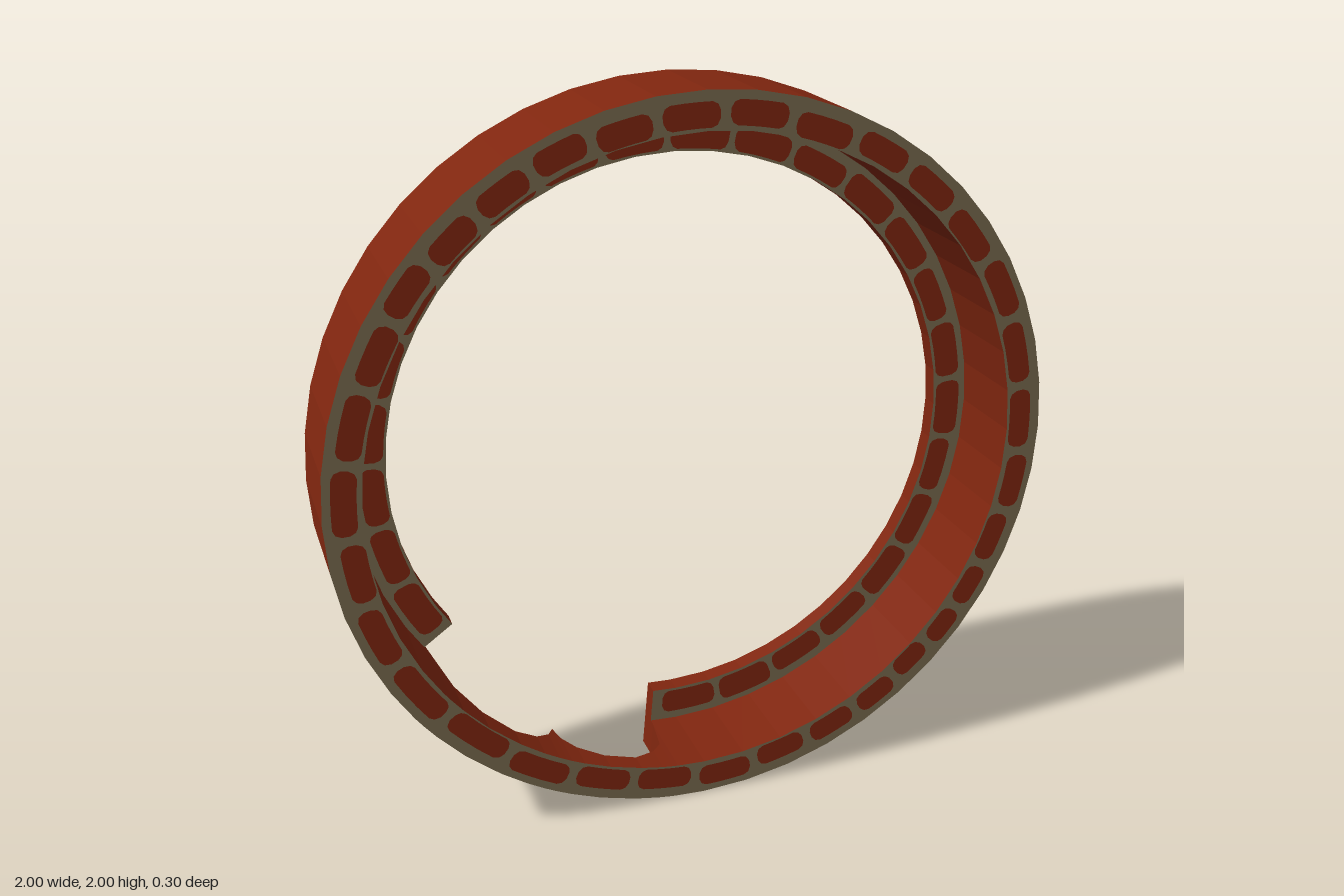
import * as THREE from 'three';
import { mergeGeometries } from 'three/addons/utils/BufferGeometryUtils.js';

const FRONT = 0.15, BACK = -0.15, LEDGE = -0.1;
const R_IN = 0.8, R_MID = 0.9, R_OUT = 1;
const rad = THREE.MathUtils.degToRad;

// Sweeps a four-cornered section round the z axis.
// rows: [angle in degrees, back z]; group 0 is brick, group 1 is the mortared front.
function sweepRing(rows, r0, r1, front, closed) {
  const faces = [[], []];
  const corner = ([deg, back], k) => {
    const r = k === 0 || k === 3 ? r0 : r1, a = rad(deg);
    return [r * Math.cos(a), r * Math.sin(a), k < 2 ? back : front];
  };
  const quad = (list, a, b, c, d) => list.push(...a, ...b, ...c, ...a, ...c, ...d);
  for (let i = 0; i < rows.length - 1; i++) {
    const p = rows[i], q = rows[i + 1];
    for (let k = 0; k < 4; k++) {
      const n = (k + 1) % 4;
      quad(faces[k === 2 ? 1 : 0], corner(p, k), corner(q, k), corner(q, n), corner(p, n));
    }
  }
  if (!closed) {
    const p = rows[0], q = rows[rows.length - 1];
    quad(faces[0], ...[0, 1, 2, 3].map(k => corner(p, k)));
    quad(faces[0], ...[3, 2, 1, 0].map(k => corner(q, k)));
  }
  const geo = new THREE.BufferGeometry();
  geo.setAttribute('position', new THREE.Float32BufferAttribute([...faces[0], ...faces[1]], 3));
  geo.addGroup(0, faces[0].length / 3, 0);
  geo.addGroup(faces[0].length / 3, faces[1].length / 3, 1);
  geo.computeVertexNormals();
  return geo;
}

// Thin curved brick face with clipped corners
function brickFace(a0, a1, r0, r1, z) {
  const pts = [];
  const add = (deg, r) => pts.push(new THREE.Vector2(r * Math.cos(rad(deg)), r * Math.sin(rad(deg))));
  const c = 0.022, ca = 1.3;
  add(a0, r0 + c);
  add(a0, r1 - c);
  add(a0 + ca * 0.35, r1 - c * 0.3);
  for (let i = 0; i <= 3; i++) add(a0 + ca + (a1 - a0 - 2 * ca) * i / 3, r1);
  add(a1 - ca * 0.35, r1 - c * 0.3);
  add(a1, r1 - c);
  add(a1, r0 + c);
  add(a1 - ca * 0.35, r0 + c * 0.3);
  for (let i = 3; i >= 0; i--) add(a0 + ca + (a1 - a0 - 2 * ca) * i / 3, r0);
  add(a0 + ca * 0.35, r0 + c * 0.3);
  return new THREE.ShapeGeometry(new THREE.Shape(pts)).translate(0, 0, z);
}

export function createModel() {
  const brick = new THREE.MeshStandardMaterial({ color: 0x80260f });
  brick.name = 'brick red';
  const mortar = new THREE.MeshStandardMaterial({ color: 0x7a6c50 });
  mortar.name = 'mortar';

  const group = new THREE.Group();
  const ring = new THREE.Group();
  ring.name = 'brickRing';
  ring.position.y = 1;
  group.add(ring);
  const add = (name, geo, mat) => {
    const mesh = new THREE.Mesh(geo, mat);
    mesh.name = name;
    ring.add(mesh);
  };

  // Regular facets outside the broken gap
  const facets = [];
  for (let a = -90; a <= 210; a += 7.5) facets.push([a, BACK]);

  // Two bites out of the back edge of the outer wall
  const bites = [
    [-144, BACK], [-144, -0.12], [-142, -0.07], [-139, 0.02], [-133, 0.065], [-126, 0.08],
    [-121, 0.06], [-118, 0.025], [-116.5, -0.015], [-115.5, 0.03], [-113, 0.065], [-108, 0.09],
    [-102, 0.094], [-98, 0.065], [-96, 0.03], [-95, -0.08], [-95, BACK],
  ];
  add('outerWall', sweepRing([...bites, ...facets, [216, BACK]], R_MID, R_OUT, FRONT, true), [brick, mortar]);

  // Recessed inner ledge, open at the gap
  add('innerLedge', sweepRing([[-95, BACK], ...facets, [215.5, BACK]], R_IN, R_MID, LEDGE, false), [brick, mortar]);

  // Uneven course of bricks on the outer wall, by centre angle
  const centres = [
    92.3, 82, 70.5, 59.5, 49.4, 37.9, 26.3, 14.3, 1.3, -9.8, -21, -30.6, -38.9, -47, -55.7, -65.1, -75.6,
    -86, -97.5, -108.6, -120.2, -133.6, -147.3, -159.8, -171, -183, -195.5, -207, -217.5, -227, -237,
    -247, -256.7,
  ];
  const n = centres.length;
  const outer = centres.map((c, i) => {
    const prev = i ? centres[i - 1] : centres[n - 1] + 360;
    const next = i < n - 1 ? centres[i + 1] : centres[0] - 360;
    const wob = 0.006 * Math.sin(i * 2.3);
    return brickFace((c + next) / 2 + 0.8, (c + prev) / 2 - 0.8, 0.908 + wob, 0.972 + wob, FRONT + 0.002);
  });
  add('outerBricks', mergeGeometries(outer), brick);

  // Longer bricks on the ledge
  const inner = [], count = 25, step = 308 / count;
  for (let i = 0; i < count; i++) {
    const a = -93.5 + i * step;
    inner.push(brickFace(a + 0.6, a + step - 0.6, 0.806, 0.876 + 0.006 * Math.sin(i * 1.9), LEDGE + 0.002));
  }
  add('innerBricks', mergeGeometries(inner), brick);

  return group;
}
